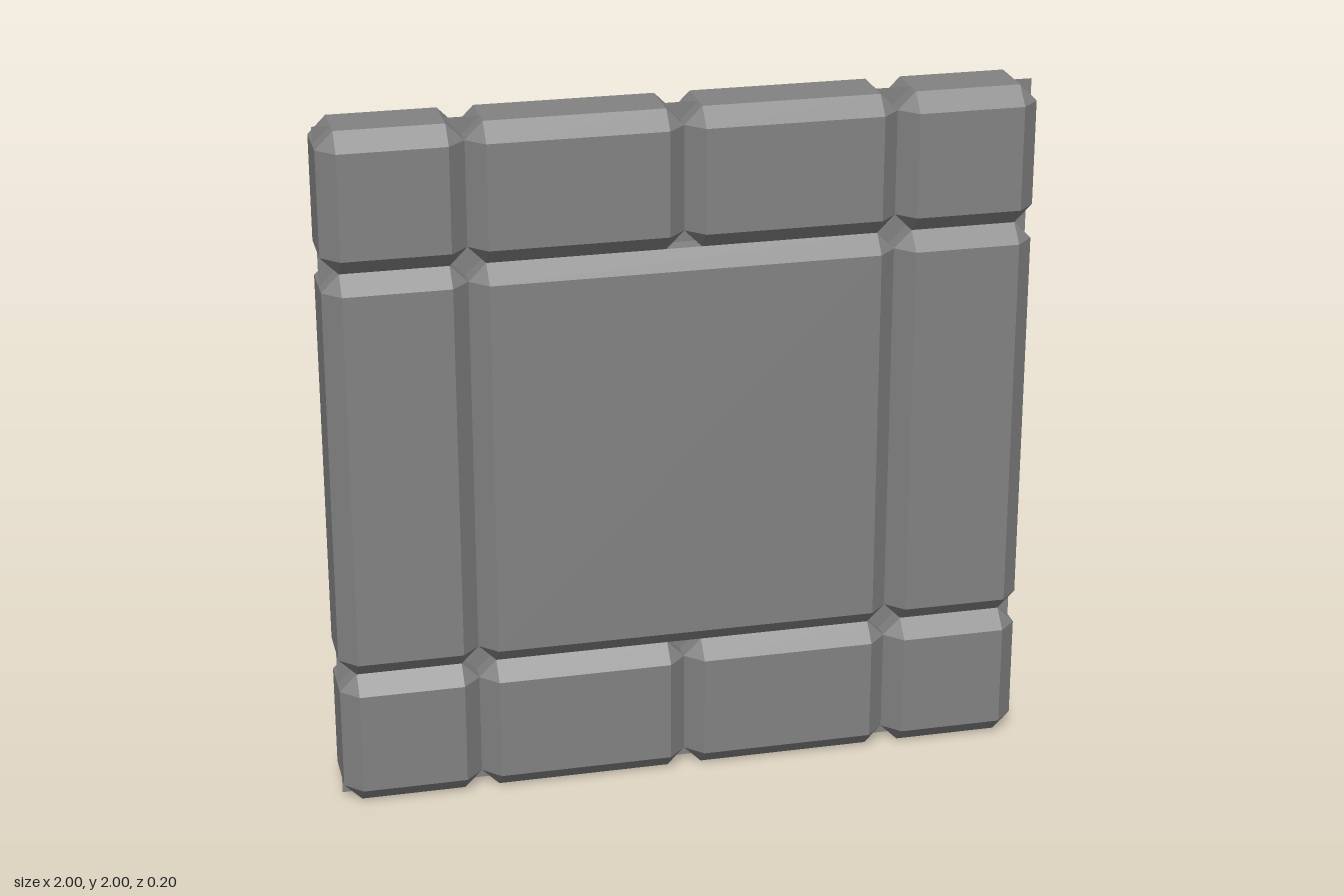
import * as THREE from 'three';

const BEVEL = 0.05, BACK = -0.1, FRONT = 0.1;

// Hollow stone, open at the back: chamfered outline, bevelled front rim, flat face
function stoneGeometry(x0, x1, y0, y1) {
  const b = BEVEL;
  // counter-clockwise outline, two points per chamfered corner
  const outline = [
    [x0, y0 + b], [x0 + b, y0], [x1 - b, y0], [x1, y0 + b],
    [x1, y1 - b], [x1 - b, y1], [x0 + b, y1], [x0, y1 - b],
  ];
  const inner = [
    [x0 + b, y0 + b], [x1 - b, y0 + b], [x1 - b, y1 - b], [x0 + b, y1 - b],
  ].map(p => [...p, FRONT]);
  const at = (i, z) => [...outline[i % 8], z];
  const positions = [];
  const tri = (...pts) => pts.forEach(p => positions.push(...p));
  const quad = (p, q, r, s) => { tri(p, q, r); tri(p, r, s); };

  for (let i = 0; i < 8; i++) {
    const rimA = at(i, FRONT - b), rimB = at(i + 1, FRONT - b);
    quad(at(i, BACK), at(i + 1, BACK), rimB, rimA);
    const corner = inner[i >> 1];
    if (i % 2 === 0) tri(rimA, rimB, corner);
    else quad(rimA, rimB, inner[((i >> 1) + 1) % 4], corner);
  }
  quad(...inner);

  const geometry = new THREE.BufferGeometry();
  geometry.setAttribute('position', new THREE.Float32BufferAttribute(positions, 3));
  geometry.computeVertexNormals();
  return geometry;
}

export function createModel() {
  const group = new THREE.Group();
  group.name = 'stoneWallPanel';
  const material = new THREE.MeshStandardMaterial({
    color: 0x828282, flatShading: true, side: THREE.DoubleSide,
  });

  // Rows of stones: vertical range and the joints along x
  const rows = [
    { name: 'bottomStone', y: [0, 0.4], joints: [-1, -0.6, 0, 0.6, 1] },
    { name: 'middleStone', y: [0.4, 1.6], joints: [-1, -0.6, 0.6, 1] },
    { name: 'topStone', y: [1.6, 2], joints: [-1, -0.6, 0, 0.6, 1] },
  ];
  for (const { name, y, joints } of rows) {
    for (let i = 0; i < joints.length - 1; i++) {
      const stone = new THREE.Mesh(stoneGeometry(joints[i], joints[i + 1], ...y), material);
      stone.name = `${name}${i + 1}`;
      group.add(stone);
    }
  }

  // Thin sheet behind the joints
  const sheet = new THREE.Mesh(new THREE.PlaneGeometry(2, 2), material);
  sheet.name = 'backingSheet';
  sheet.position.y = 1;
  group.add(sheet);

  return group;
}
